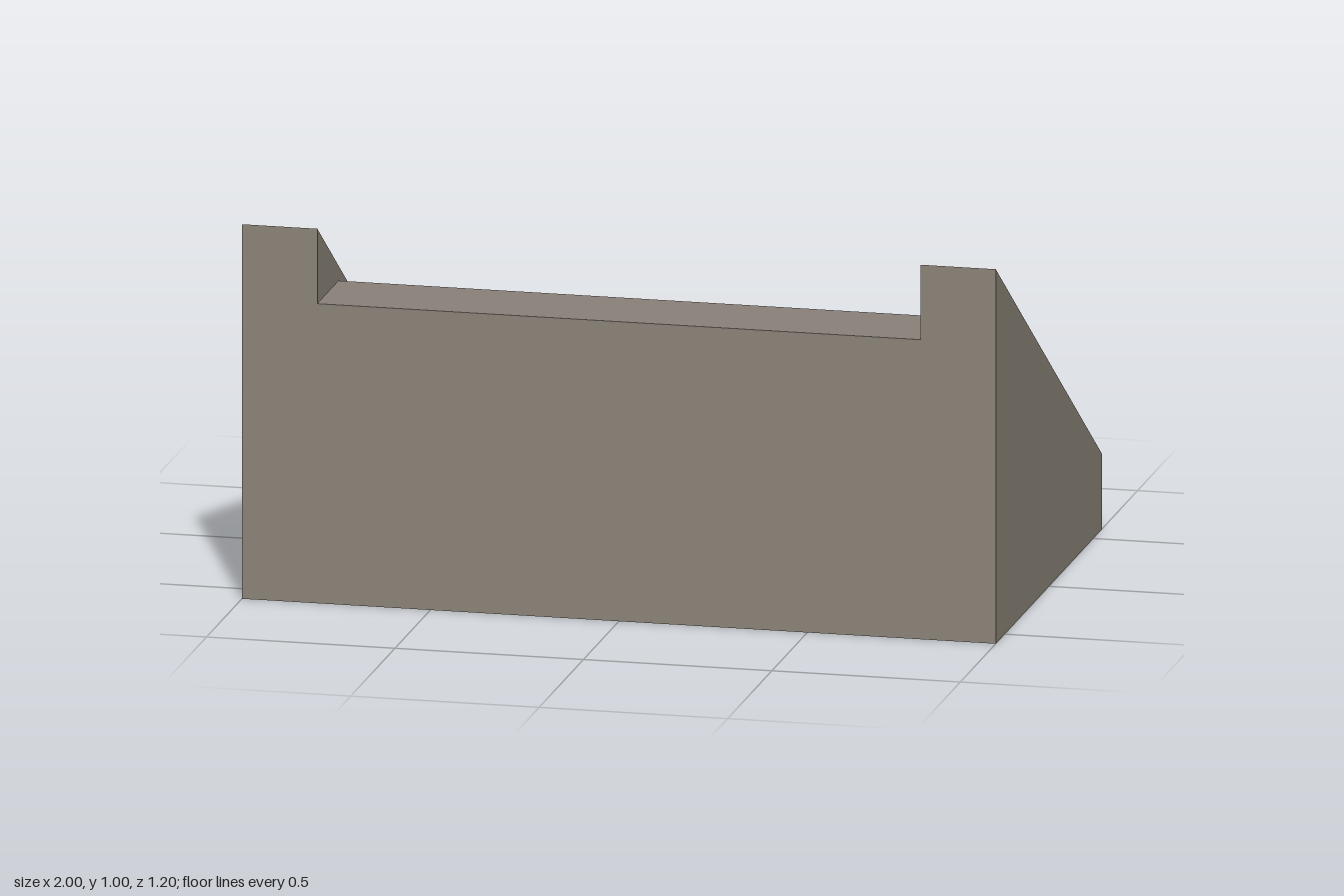
import * as THREE from 'three';

const STEPS = 5, RISE = 0.16, RUN = 0.24, DEPTH = 1.2, INNER = 1.6, CHEEK = 0.2, SKIN = 0.004;

// Extrudes a side profile of [z, y] points along x, centred on x = 0.
function extrudeAcross(points, width) {
  const shape = new THREE.Shape(points.map(([z, y]) => new THREE.Vector2(-z, y)));
  return new THREE.ExtrudeGeometry(shape, { depth: width, bevelEnabled: false })
    .translate(0, 0, -width / 2)
    .rotateY(Math.PI / 2);
}

export function createModel() {
  const model = new THREE.Group();
  model.name = 'stoneStairs';
  const stone = new THREE.MeshStandardMaterial({ color: 0x8c8478 });
  stone.name = 'stone';
  const treadStone = new THREE.MeshStandardMaterial({ color: 0x8a8079 });
  treadStone.name = 'treadStone';

  const add = (name, geometry, material, x = 0, y = 0, z = 0) => {
    const mesh = new THREE.Mesh(geometry, material);
    mesh.name = name;
    mesh.position.set(x, y, z);
    model.add(mesh);
  };

  // Stepped core, rising from the back to the front
  const half = DEPTH / 2;
  const profile = [[half, 0], [-half, 0]];
  for (let i = 0; i < STEPS; i++) {
    const y = (i + 1) * RISE - SKIN;
    profile.push([-half + i * RUN, y], [-half + (i + 1) * RUN, y]);
  }
  add('steps', extrudeAcross(profile.reverse(), INNER), stone);

  // Thin tread surface on each step
  const tread = new THREE.BoxGeometry(INNER, SKIN, RUN);
  for (let i = 0; i < STEPS; i++) {
    add(`tread${i + 1}`, tread, treadStone, 0, (i + 1) * RISE - SKIN / 2, -half + (i + 0.5) * RUN);
  }

  // Sloping side walls
  const wall = extrudeAcross([[half, 0], [-half, 0], [-half, 0.2], [half, 1]], CHEEK);
  for (const [name, side] of [['leftWall', 1], ['rightWall', -1]]) {
    add(name, wall, stone, side * (INNER + CHEEK) / 2);
  }
  return model;
}
